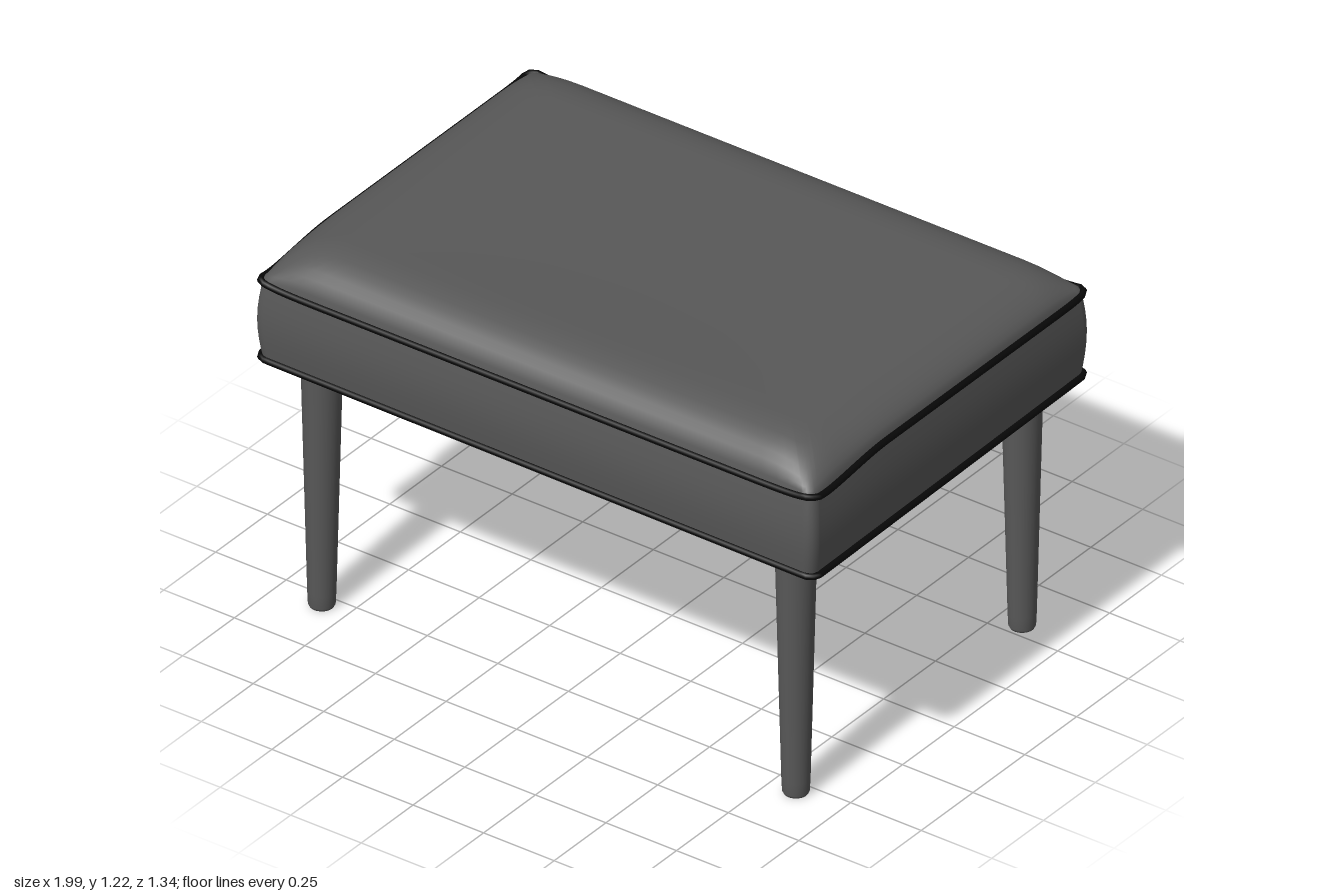
import * as THREE from 'three';

const HX = 0.98, HZ = 0.66, EDGE = 28, CORNER = 4;

// Points around a rounded rectangle, running from +x towards +z
function outline(hx, hz, r = 0.03) {
  const pts = [];
  const corners = [[1, 1], [-1, 1], [-1, -1], [1, -1]];
  corners.forEach(([sx, sz], k) => {
    const cx = sx * (hx - r), cz = sz * (hz - r);
    for (let i = 0; i <= CORNER; i++) {
      const a = (k + i / CORNER) * Math.PI / 2;
      pts.push([cx + r * Math.cos(a), cz + r * Math.sin(a)]);
    }
    const [nx, nz] = corners[(k + 1) % 4];
    const a = (k + 1) * Math.PI / 2;
    const from = pts[pts.length - 1];
    const to = [nx * (hx - r) + r * Math.cos(a), nz * (hz - r) + r * Math.sin(a)];
    for (let i = 1; i < EDGE; i++) {
      const t = (1 - Math.cos(Math.PI * i / EDGE)) / 2; // denser near the corners
      pts.push([from[0] + (to[0] - from[0]) * t, from[1] + (to[1] - from[1]) * t]);
    }
  });
  return pts;
}

// Skin between closed rings of [x, y, z] points
function loft(rings) {
  const n = rings[0].length, index = [];
  for (let i = 0; i < rings.length - 1; i++) {
    for (let j = 0; j < n; j++) {
      const a = i * n + j, b = i * n + (j + 1) % n;
      index.push(a, a + n, b, b, a + n, b + n);
    }
  }
  const geo = new THREE.BufferGeometry();
  geo.setAttribute('position', new THREE.Float32BufferAttribute(rings.flat(2), 3));
  geo.setIndex(index);
  geo.computeVertexNormals();
  return geo;
}

// Heights of the two seams and the underside; the front droops slightly
const cornerLift = (x, z) => 0.012 * Math.pow(Math.abs(x / HX), 20) * Math.pow(Math.abs(z / HZ), 20);
const topSeam = (x, z) => 1.124 - 0.03 * THREE.MathUtils.smoothstep(z, 0.3, 0.66) + cornerLift(x, z);
const lowSeam = (x, z) => 0.85 - 0.015 * z - 0.005 * x;
const underside = (x, z) => 0.807 - 0.009 * z - 0.006 * x;

// Padded top: steep roll at the edges, pinched corners, shallow dip in the middle
const roll = (d, r) => Math.sqrt(1 - Math.pow(1 - THREE.MathUtils.clamp(d / r, 0, 1), 2));
function topHeight(x, z) {
  const seam = topSeam(x, z);
  const dip = 0.012 * Math.cos(x / HX * Math.PI / 2) * Math.cos(z / HZ * Math.PI / 2);
  return seam + (1.218 - seam) * roll(HX - Math.abs(x), 0.2) * roll(HZ - Math.abs(z), 0.17) - dip;
}

export function createModel() {
  const model = new THREE.Group();
  const fabric = new THREE.MeshStandardMaterial({ color: 0x585858 });
  fabric.name = 'grey fabric';
  const trim = new THREE.MeshStandardMaterial({ color: 0x080808 });
  trim.name = 'black piping';
  const add = (name, geo, mat) => {
    const mesh = new THREE.Mesh(geo, mat);
    mesh.name = name;
    model.add(mesh);
    return mesh;
  };

  const ring = (hx, hz, height) => outline(hx, hz).map(([x, z]) => [x, height(x, z), z]);

  // Cushion top
  const edge = outline(HX, HZ);
  const insets = [0, 0.004, 0.012, 0.025, 0.045, 0.07, 0.1, 0.14, 0.18, 0.23, 0.32, 0.43, 0.54];
  const topRings = insets.map((d, i) => i === 0
    ? ring(HX, HZ, topSeam)
    : ring(HX - d, HZ - d, topHeight));
  topRings.push(edge.map(() => [0, topHeight(0, 0), 0]));
  add('cushionTop', loft(topRings), fabric);

  // Side band, bulging gently between the seams
  const bandRings = [];
  for (let i = 0; i <= 8; i++) {
    const t = i / 8, bulge = 0.012 * Math.sin(Math.PI * t);
    bandRings.push(ring(HX + bulge, HZ + bulge,
      (x, z) => lowSeam(x, z) + (topSeam(x, z) - lowSeam(x, z)) * t));
  }
  add('cushionSides', loft(bandRings), fabric);

  // Underside with rolled edges
  const baseRings = [edge.map(() => [0, underside(0, 0), 0])];
  bandRings.length = 0;
  for (const d of [0.3, 0.07]) baseRings.push(ring(HX - d, HZ - d, underside));
  for (let i = 1; i <= 6; i++) {
    const a = i / 6 * Math.PI / 2, d = 0.06 * (1 - Math.sin(a));
    baseRings.push(ring(HX - d, HZ - d,
      (x, z) => lowSeam(x, z) + (underside(x, z) - lowSeam(x, z)) * Math.cos(a)));
  }
  add('cushionUnderside', loft(baseRings), fabric);

  // Piping along both seams
  for (const [name, seam] of [['upperPiping', topSeam], ['lowerPiping', lowSeam]]) {
    const pts = outline(HX + 0.007, HZ + 0.002).map(([x, z]) => new THREE.Vector3(x, seam(x, z), z));
    const path = new THREE.CatmullRomCurve3(pts, true);
    add(name, new THREE.TubeGeometry(path, 320, 0.0105, 8, true), trim);
  }

  // Tapered legs with a softened foot
  const profile = [[0, 0], [0.036, 0], [0.04, 0.008], [0.042, 0.05], [0.06, 0.78], [0.06, 0.83]]
    .map(([r, y]) => new THREE.Vector2(r, y));
  const legGeo = new THREE.LatheGeometry(profile, 28);
  for (const [sx, side] of [[1, 'Left'], [-1, 'Right']]) {
    for (const [sz, end] of [[1, 'front'], [-1, 'back']]) {
      add(`${end}${side}Leg`, legGeo, fabric).position.set(sx * 0.84, 0, sz * 0.546);
    }
  }
  return model;
}
